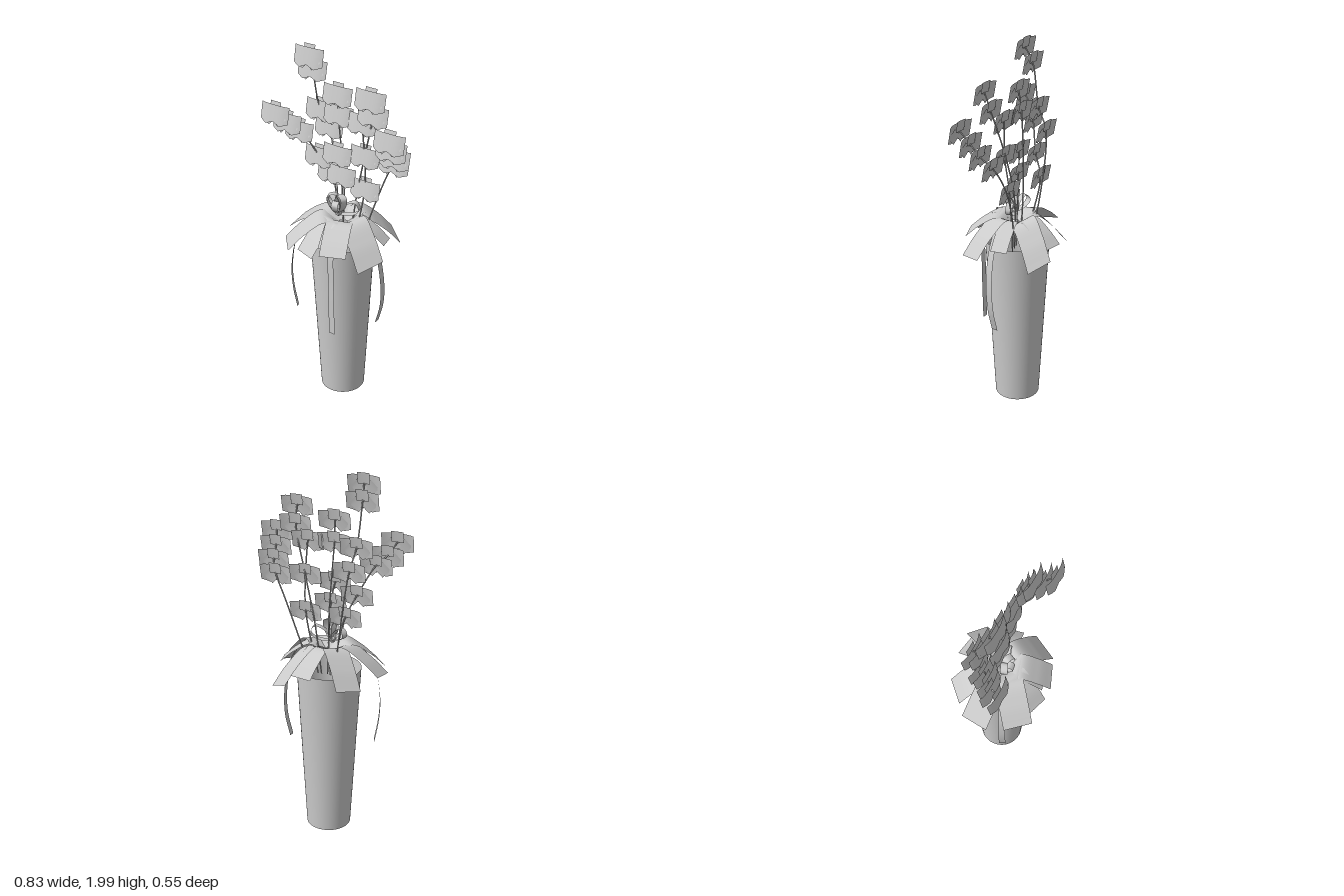
import * as THREE from 'three';

const grey = new THREE.MeshStandardMaterial({ color: 0xcccccc, side: THREE.DoubleSide });
const V = (p) => new THREE.Vector3(...p);

function add(parent, name, geometry) {
  const mesh = new THREE.Mesh(geometry, grey);
  mesh.name = name;
  parent.add(mesh);
  return mesh;
}

// Flat strip swept along a curve, its width lying along a fixed direction
function strip(points, widthDir, width, closed = false) {
  const curve = new THREE.CatmullRomCurve3(points.map(V), closed);
  const side = V(widthDir).normalize();
  const geo = new THREE.PlaneGeometry(1, 1, 2, 20);
  const pos = geo.attributes.position;
  for (let i = 0; i < pos.count; i++) {
    const p = curve.getPoint(0.5 - pos.getY(i)).addScaledVector(side, pos.getX(i) * width);
    pos.setXYZ(i, p.x, p.y, p.z);
  }
  geo.computeVertexNormals();
  return geo;
}

// Curved panel: sides swept back, lower edge drawn down into two points
function panel(w, h, bulge, points) {
  const geo = new THREE.PlaneGeometry(w, h, 8, 2);
  const pos = geo.attributes.position;
  for (let i = 0; i < pos.count; i++) {
    const u = Math.abs(pos.getX(i)) / (w / 2);
    const low = pos.getY(i) < -h / 4 ? points * (1 - Math.abs(u - 0.5) * 2) : 0;
    pos.setY(i, pos.getY(i) - low);
    pos.setZ(i, -bulge * u ** 3);
  }
  geo.computeVertexNormals();
  return geo;
}

const petalGeo = panel(0.175, 0.088, 0.015, 0.018);
const sepalGeo = panel(0.066, 0.06, 0.002, 0);

function flower([x, y, z]) {
  const g = new THREE.Group();
  g.name = 'flower';
  add(g, 'petals', petalGeo);
  add(g, 'topSepal', sepalGeo).position.set(0, 0.03, -0.012);
  for (const s of [-1, 1]) {
    const sepal = add(g, 'lowerSepal', sepalGeo);
    sepal.position.set(s * 0.032, -0.022, -0.006);
    sepal.rotation.z = s * 0.75;
  }
  g.position.set(x, y, z);
  g.rotation.x = -0.2;
  return g;
}

// Spray: a stem rising from the vase and running just behind its flowers
function spray(parent, base, flowers) {
  const g = new THREE.Group();
  g.name = 'spray';
  const path = [...base, ...flowers.map(([x, y, z]) => [x, y, z - 0.012])];
  add(g, 'stem', new THREE.TubeGeometry(new THREE.CatmullRomCurve3(path.map(V)), 32, 0.0038, 6));
  flowers.forEach((p) => g.add(flower(p)));
  parent.add(g);
}

// Wide ribbon leaf arching from the middle of the vase to its end centre, banked by tilt
function drape(parent, x, y, z, width, tilt = 0) {
  const cx = -0.01, cz = 0.015, dx = x - cx, dz = z - cz;
  const arch = [[0.08, 1.04], [0.35, 1.08], [0.7, 1.08 + (y - 1.08) * 0.42], [1, y]];
  const path = arch.map(([t, h]) => [cx + dx * t, h, cz + dz * t]);
  add(parent, 'drapedLeaf', strip(path, [-dz, tilt * Math.hypot(dx, dz), dx], width));
}

// Teardrop ribbon loop leaning out from the knot
function bowLoop(parent, turn, lean, size) {
  const shape = [[0.004, 0], [size * 0.6, 0.45], [size, 0.2], [size, -0.2], [size * 0.6, -0.45]];
  const path = shape.map(([r, t]) => {
    const a = Math.PI / 2 - lean + t;
    return [Math.cos(a) * r * Math.cos(turn), Math.sin(a) * r, Math.cos(a) * r * Math.sin(turn)];
  });
  add(parent, 'bowLoop', strip(path, [-Math.sin(turn), 0, Math.cos(turn)], 0.038, true));
}

export function createModel() {
  const model = new THREE.Group();

  // Tapered thin-walled vase, open at both ends
  const vase = add(model, 'vase', new THREE.CylinderGeometry(0.172, 0.121, 0.945, 48, 1, true));
  vase.position.set(-0.02, 0.4725, 0.008);

  // Draped leaves: back, left, front, right
  drape(model, 0.03, 0.97, -0.24, 0.12);
  drape(model, 0.155, 0.905, -0.24, 0.135, -0.37);
  drape(model, -0.21, 0.91, -0.17, 0.14, 0.15);
  drape(model, -0.326, 0.95, 0.01, 0.145, 0.2);
  drape(model, -0.23, 0.93, 0.22, 0.155);
  drape(model, -0.085, 0.93, 0.255, 0.125);
  drape(model, 0.09, 0.965, 0.25, 0.14);
  drape(model, 0.05, 0.985, 0.226, 0.12);
  drape(model, 0.245, 0.9, 0.13, 0.155, -0.2);
  drape(model, 0.23, 0.97, -0.04, 0.09);

  // Narrow ribbons hanging beside the vase
  add(model, 'leftTail', strip([[0.03, 1.05, 0.02], [0.12, 1.07, 0.02], [0.2, 0.96, 0.02],
    [0.24, 0.78, 0.015], [0.238, 0.62, 0.008], [0.205, 0.49, 0.005]], [0, 0, 1], 0.036));
  add(model, 'rightTail', strip([[-0.06, 1.05, 0.04], [-0.16, 1.05, 0.09], [-0.23, 0.94, 0.125],
    [-0.262, 0.76, 0.14], [-0.257, 0.62, 0.14], [-0.237, 0.49, 0.13]], [0.45, 0, 0.9], 0.036));
  add(model, 'frontTail', strip([[0.02, 1.06, 0.05], [0.03, 1.06, 0.13], [0.035, 0.96, 0.185],
    [0.036, 0.75, 0.19], [0.036, 0.44, 0.185]], [1, 0, 0], 0.037));

  // Bow: ribbon loops fanned around a knot
  const bow = new THREE.Group();
  bow.name = 'bow';
  bowLoop(bow, 0.4, 0.3, 0.11);
  bowLoop(bow, -0.3, 1.1, 0.12);
  bowLoop(bow, 2.7, 0.35, 0.11);
  bowLoop(bow, 3.5, 0.9, 0.1);
  bowLoop(bow, 1.4, 0.5, 0.08);
  add(bow, 'knot', new THREE.SphereGeometry(0.018, 12, 8));
  bow.position.set(-0.03, 1.095, 0.03);
  model.add(bow);

  // Flower sprays, from the tall one on the right across to the short middle one
  spray(model, [[-0.07, 0.9, -0.03], [-0.11, 1.15, -0.07]],
    [[-0.165, 1.52, -0.06], [-0.18, 1.63, -0.005], [-0.19, 1.86, 0.04], [-0.18, 1.935, 0.08]]);
  spray(model, [[-0.05, 0.9, 0], [-0.1, 1.12, -0.05]],
    [[-0.14, 1.27, -0.045], [-0.18, 1.375, 0.01], [-0.255, 1.525, 0.075], [-0.3, 1.57, 0.115], [-0.33, 1.63, 0.173]]);
  spray(model, [[-0.03, 0.9, 0], [-0.03, 1.2, -0.02]],
    [[-0.05, 1.64, 0.015], [-0.045, 1.75, 0.03]]);
  spray(model, [[0.02, 0.9, 0], [0.05, 1.2, -0.02], [0.11, 1.45, -0.005]],
    [[0.18, 1.7, 0.045], [0.185, 1.79, 0.077]]);
  spray(model, [[0.07, 0.9, -0.02], [0.12, 1.1, -0.055], [0.2, 1.32, -0.06]],
    [[0.265, 1.44, -0.022], [0.3, 1.5, 0.028], [0.31, 1.56, 0.077], [0.33, 1.625, 0.125]]);
  spray(model, [[0.04, 0.9, 0]],
    [[0.1, 1.255, -0.01], [0.11, 1.45, 0.012], [0.1, 1.63, 0.02]]);
  spray(model, [[-0.01, 0.9, 0.01]],
    [[-0.03, 1.31, 0.02], [-0.05, 1.425, 0.028]]);
  return model;
}
